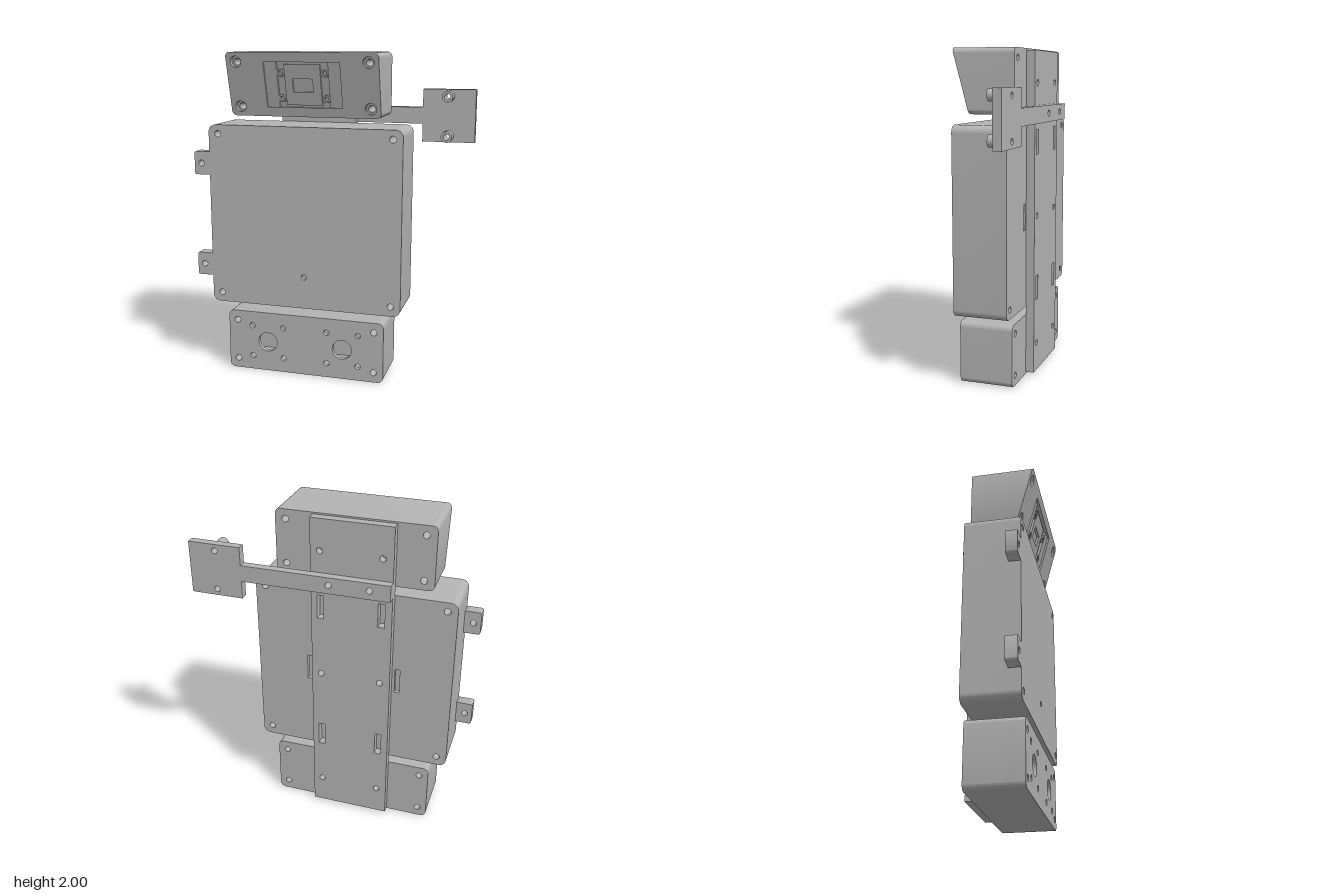
import * as THREE from 'three';
import { toCreasedNormals } from 'three/addons/utils/BufferGeometryUtils.js';

const grey = new THREE.MeshStandardMaterial({ color: 0xb4b4b4 });
grey.name = 'plain grey';

// Closed outline with rounded corners
function rounded(path, x0, y0, x1, y1, r) {
  path.moveTo(x0 + r, y0);
  path.lineTo(x1 - r, y0);
  if (r) path.absarc(x1 - r, y0 + r, r, -Math.PI / 2, 0);
  path.lineTo(x1, y1 - r);
  if (r) path.absarc(x1 - r, y1 - r, r, 0, Math.PI / 2);
  path.lineTo(x0 + r, y1);
  if (r) path.absarc(x0 + r, y1 - r, r, Math.PI / 2, Math.PI);
  path.lineTo(x0, y0 + r);
  if (r) path.absarc(x0 + r, y0 + r, r, Math.PI, Math.PI * 1.5);
  return path;
}
const rect = (x0, y0, x1, y1, r = 0) => rounded(new THREE.Shape(), x0, y0, x1, y1, r);
const slot = (x0, y0, x1, y1, r = 0) => rounded(new THREE.Path(), x0, y0, x1, y1, r);
const hole = (x, y, r) => new THREE.Path().absarc(x, y, r, 0, Math.PI * 2);
const disc = (x, y, r) => new THREE.Shape().absarc(x, y, r, 0, Math.PI * 2);
const grid = (xs, ys) => xs.flatMap((x) => ys.map((y) => [x, y]));

// Extrusion between two depths; each depth may be a number or a function of y
function slab(name, shape, holes, back, front) {
  shape.holes.push(...holes);
  const geo = new THREE.ExtrudeGeometry(shape, { depth: 1, bevelEnabled: false, curveSegments: 10 });
  const at = (d, y) => (typeof d === 'function' ? d(y) : d);
  const p = geo.attributes.position;
  for (let i = 0; i < p.count; i++) {
    const y = p.getY(i);
    p.setZ(i, p.getZ(i) > 0.5 ? at(front, y) : at(back, y));
  }
  geo.computeVertexNormals();
  const mesh = new THREE.Mesh(toCreasedNormals(geo, 0.6), grey);
  mesh.name = name;
  return mesh;
}

// Hollow box: back panel, wall ring, front panel and corner screw tubes
function enclosure(name, [x0, y0, x1, y1, r], screws, frontHoles, backHoles) {
  const g = new THREE.Group();
  g.name = name;
  const t = 0.03, zb = -0.14, zf = 0.19;
  const through = () => screws.map(([x, y]) => hole(x, y, 0.02));
  g.add(slab(name + 'Back', rect(x0, y0, x1, y1, r), [...through(), ...backHoles], zb, zb + t));
  g.add(slab(name + 'Walls', rect(x0, y0, x1, y1, r), [slot(x0 + t, y0 + t, x1 - t, y1 - t, 0.01)], zb + t, zf - t));
  g.add(slab(name + 'Front', rect(x0, y0, x1, y1, r), [...through(), ...frontHoles], zf - t, zf));
  for (const [x, y] of screws) {
    g.add(slab('screwTube', disc(x, y, 0.03), [hole(x, y, 0.02)], zb + t, zf - t));
  }
  return g;
}

export function createModel() {
  const model = new THREE.Group();
  model.name = 'mountedEnclosures';

  // Large middle box with side ears
  const main = enclosure('mainBox', [-0.74, 0.44, 0.47, 1.565, 0.045],
    grid([-0.68, 0.41], [0.5, 1.51]),
    [hole(-0.135, 0.64, 0.017)],
    [slot(0.125, 0.92, 0.155, 1.08), slot(-0.425, 0.92, -0.395, 1.08)]);
  for (const y of [0.68, 1.325]) {
    main.add(slab('ear', rect(-0.84, y - 0.072, -0.735, y + 0.072, 0.012), [hole(-0.795, y, 0.019)], 0.12, 0.19));
  }
  model.add(main);

  // Bottom box with two round openings
  model.add(enclosure('lowerBox', [-0.637, 0.002, 0.37, 0.387, 0.035],
    grid([-0.58, 0.31], [0.065, 0.325]),
    [...grid([-0.48, -0.275, 0.008, 0.21], [0.093, 0.295]).map(([x, y]) => hole(x, y, 0.018)),
      hole(-0.378, 0.193, 0.062), hole(0.108, 0.193, 0.062)],
    [hole(-0.315, 0.193, 0.019), hole(0.05, 0.193, 0.019)]));

  // Top box with a sloping front
  const head = new THREE.Group();
  head.name = 'upperBox';
  const slope = (depth) => (y) => 0.14 + (0.1 * (y - 1.62)) / 0.38 - depth;
  const outline = () => rect(-0.598, 1.62, 0.33, 2, 0.03);
  const screws = grid([-0.537, 0.27], [1.677, 1.943]);
  const bores = (r) => screws.map(([x, y]) => hole(x, y, r));
  head.add(slab('upperBody', outline(), bores(0.02), -0.14, slope(0.03)));
  head.add(slab('upperFace', outline(), [...bores(0.034), slot(-0.365, 1.677, 0.1, 1.943)], slope(0.03), slope(0)));
  // Recessed holder: side pads, centre pad with window, pegs
  for (const x of [-0.365, 0.025]) {
    head.add(slab('sidePad', rect(x, 1.677, x + 0.075, 1.943), [], slope(0.032), slope(0.012)));
  }
  head.add(slab('centrePad', rect(-0.245, 1.69, -0.025, 1.93), [slot(-0.198, 1.768, -0.075, 1.845)], slope(0.032), slope(0.015)));
  for (const [x, y] of grid([-0.27, 0.003], [1.73, 1.88])) {
    head.add(slab('peg', disc(x, y, 0.023), [hole(x, y, 0.012)], slope(0.032), slope(0.006)));
  }
  model.add(head);

  // Long back plate joining the boxes
  model.add(slab('backPlate', rect(-0.377, 0.015, 0.107, 1.99), [
    ...grid([-0.315, 0.05], [0.193, 1, 1.8]).map(([x, y]) => hole(x, y, 0.019)),
    ...grid([-0.315, 0.05], [0.55, 1.45]).map(([x, y]) => slot(x - 0.02, y - 0.075, x + 0.02, y + 0.075)),
    hole(-0.255, 1.62, 0.019), hole(-0.015, 1.62, 0.019),
  ], -0.192, -0.14));

  // Side arm ending in a square panel with two standoffs
  const arm = new THREE.Group();
  arm.name = 'sideArm';
  const armShape = new THREE.Shape([[-0.377, 1.567], [0.515, 1.567], [0.515, 1.458], [0.835, 1.458],
    [0.835, 1.778], [0.515, 1.778], [0.515, 1.667], [-0.377, 1.667]].map(([x, y]) => new THREE.Vector2(x, y)));
  const posts = [1.497, 1.738];
  arm.add(slab('armPlate', armShape, [hole(-0.255, 1.62, 0.019), hole(-0.015, 1.62, 0.019),
    ...posts.map((y) => hole(0.673, y, 0.018))], -0.243, -0.192));
  for (const y of posts) {
    arm.add(slab('standoff', disc(0.673, y, 0.034), [hole(0.673, y, 0.018)], -0.192, -0.113));
  }
  model.add(arm);
  return model;
}
